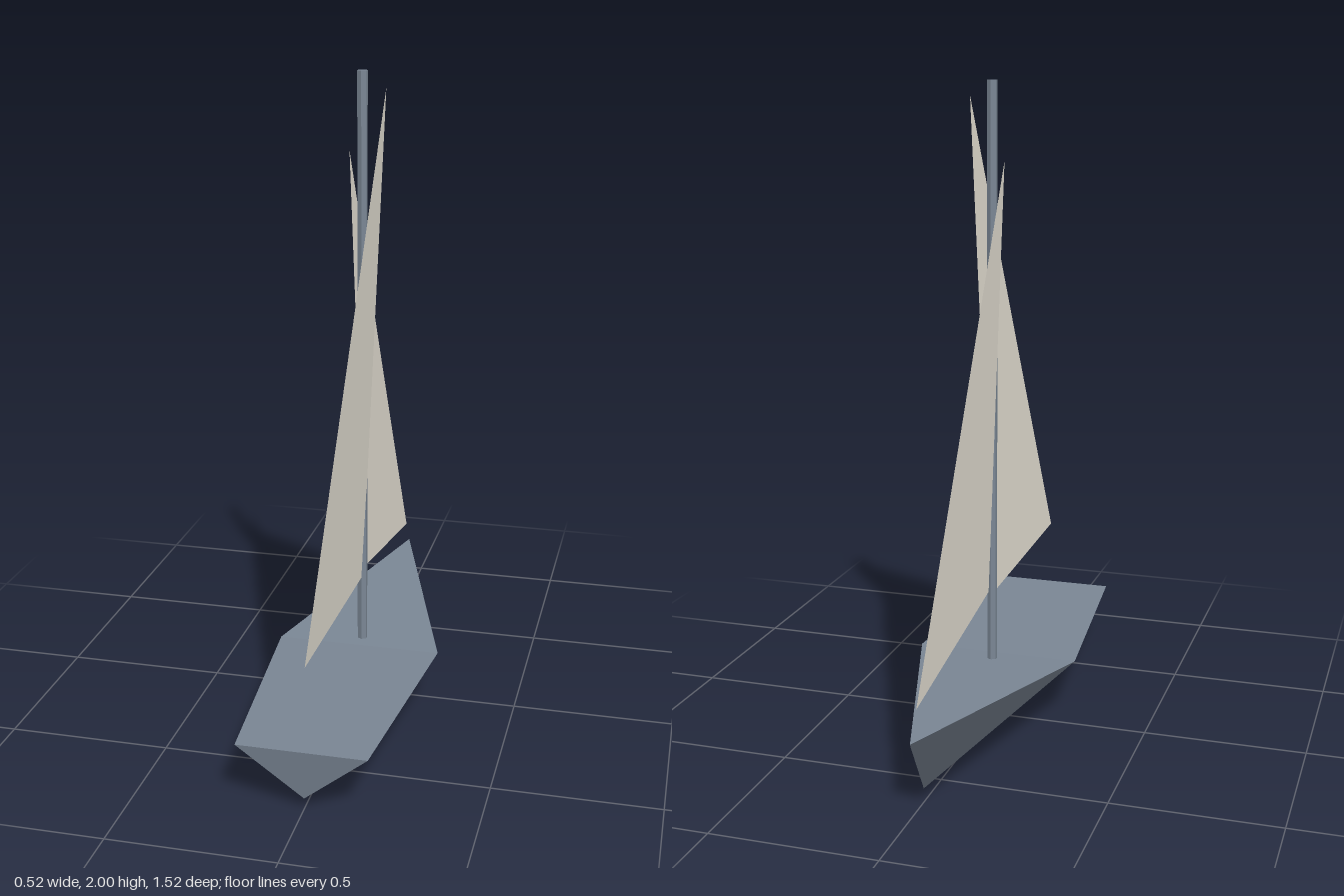
import * as THREE from 'three';

// Builds flat polygons, each fanned from its first corner with one shared normal.
function facets(polygons) {
  const pos = [], nor = [];
  for (const corners of polygons) {
    const p = corners.map((c) => new THREE.Vector3(...c));
    const n = new THREE.Vector3();
    p.forEach((a, i) => n.add(a.clone().cross(p[(i + 1) % p.length])));
    n.normalize();
    for (let i = 1; i < p.length - 1; i++) {
      for (const v of [p[0], p[i], p[i + 1]]) {
        pos.push(v.x, v.y, v.z);
        nor.push(n.x, n.y, n.z);
      }
    }
  }
  const g = new THREE.BufferGeometry();
  g.setAttribute('position', new THREE.Float32BufferAttribute(pos, 3));
  g.setAttribute('normal', new THREE.Float32BufferAttribute(nor, 3));
  return g;
}

export function createModel() {
  const model = new THREE.Group();
  const slate = new THREE.MeshStandardMaterial({ color: 0x7a8694 });
  slate.name = 'slate paint';
  const canvas = new THREE.MeshStandardMaterial({ color: 0xe4dfd3, side: THREE.DoubleSide });
  canvas.name = 'sail canvas';

  const add = (name, geometry, material) => {
    const mesh = new THREE.Mesh(geometry, material);
    mesh.name = name;
    model.add(mesh);
    return mesh;
  };

  // Hull: a pointed bow, widest amidships, with a V-shaped keel and flat stern
  const bow = [0, 0.222, -0.758], keelBow = [0, 0.042, -0.65];
  const keelMid = [0, 0, 0.055], keelStern = [0, 0.034, 0.73];
  const mid = [0.258, 0.188, 0.055], stern = [0.193, 0.2, 0.762];
  const flip = ([x, y, z]) => [-x, y, z];
  const side = [
    [mid, keelMid, keelBow, bow],
    [mid, stern, keelStern, keelMid],
  ];
  const otherSide = side.map((q) => [q[0], ...q.slice(1).reverse()].map(flip));
  add('hull', facets([...side, ...otherSide, [stern, flip(stern), keelStern]]), slate);
  add('deck', facets([
    [mid, bow, flip(mid)],
    [mid, flip(mid), flip(stern), stern],
  ]), slate);

  // Mast: a slim six-sided pole
  const mastGeometry = new THREE.CylinderGeometry(0.016, 0.016, 1.82, 6).toNonIndexed();
  mastGeometry.computeVertexNormals();
  add('mast', mastGeometry, slate).position.y = 1.09;

  // Sails: thin triangles whose heads lean to opposite sides
  add('mainSail', facets([[[0, 0.405, 0], [0.075, 1.955, 0.018], [0, 0.435, 0.707]]]), canvas);
  add('foreSail', facets([[[0, 0.425, -0.038], [0, 0.303, -0.705], [-0.043, 1.765, -0.015]]]), canvas);

  return model;
}
